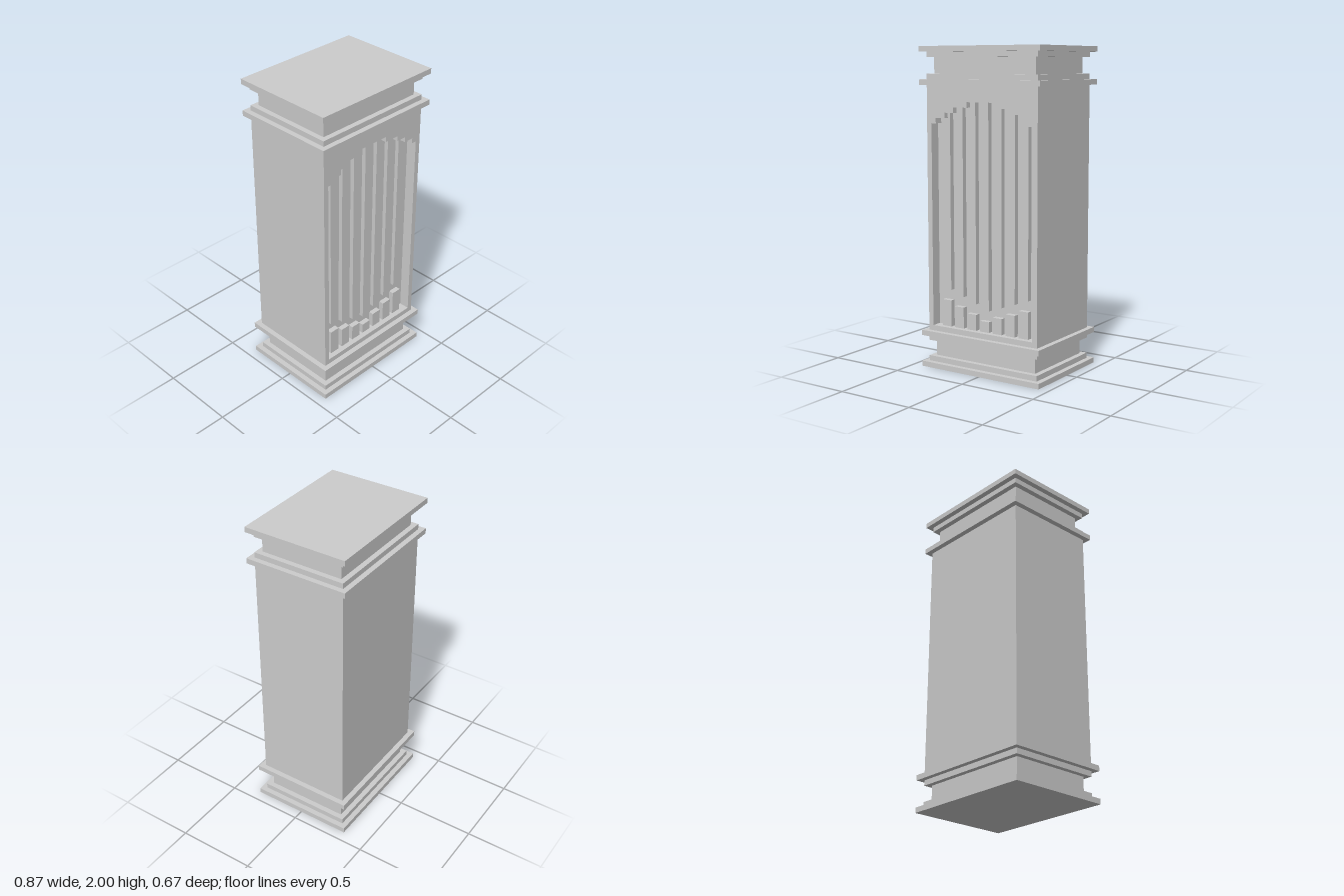
import * as THREE from 'three';

const U = 1 / 30; // every dimension is a multiple of this step
const material = new THREE.MeshStandardMaterial({ color: 0xcccccc });

// Box given by its extents in steps
function box(name, x0, x1, y0, y1, z0, z1) {
  const g = new THREE.BoxGeometry((x1 - x0) * U, (y1 - y0) * U, (z1 - z0) * U);
  g.translate((x0 + x1) * U / 2, (y0 + y1) * U / 2, (z0 + z1) * U / 2);
  const mesh = new THREE.Mesh(g, material);
  mesh.name = name;
  return mesh;
}

// Stack of slabs: [half width, bottom, top]; the depth is 3 steps less per side
function moulding(name, mirrored) {
  const group = new THREE.Group();
  group.name = name;
  const slabs = [[13, 0, 1], [12, 1, 2], [11, 2, 5], [12, 5, 6], [13, 6, 7]];
  for (const [w, a, b] of slabs) {
    const [y0, y1] = mirrored ? [60 - b, 60 - a] : [a, b];
    group.add(box('mouldingSlab', -w, w, y0, y1, 3 - w, w - 3));
  }
  return group;
}

// Front slab with a recess whose top edge rises in steps to the middle
function frontFrame() {
  const shape = new THREE.Shape();
  shape.moveTo(-12, 7).lineTo(12, 7).lineTo(12, 53).lineTo(-12, 53).closePath();
  const right = [[11, 8], [11, 46], [10, 46], [10, 47], [8, 47], [8, 48],
    [6, 48], [6, 49], [3, 49], [3, 50]];
  const left = right.map(([x, y]) => [-x, y]).reverse();
  shape.holes.push(new THREE.Path([...right, ...left].map(([x, y]) => new THREE.Vector2(x, y))));
  const g = new THREE.ExtrudeGeometry(shape, { depth: 2, bevelEnabled: false });
  g.translate(0, 0, 7);
  g.scale(U, U, U);
  const mesh = new THREE.Mesh(g, material);
  mesh.name = 'frontFrame';
  return mesh;
}

export function createModel() {
  const model = new THREE.Group();
  model.name = 'pedestal';
  model.add(moulding('baseMoulding', false), moulding('topMoulding', true));
  model.add(box('shaft', -12, 12, 7, 53, -9, 7), frontFrame());

  // Long hanging bars and short blocks inside the recess, set back one step
  const bars = new THREE.Group();
  bars.name = 'recessBars';
  for (let i = -3; i <= 3; i++) {
    const x = i * 17 / 6, k = Math.abs(i);
    bars.add(box('longBar', x - 1, x + 1, 12 + k, 51, 6.9, 8));
    bars.add(box('shortBlock', x - 1, x + 1, 7.9, 10 + k, 6.9, 8));
  }
  model.add(bars);
  return model;
}
